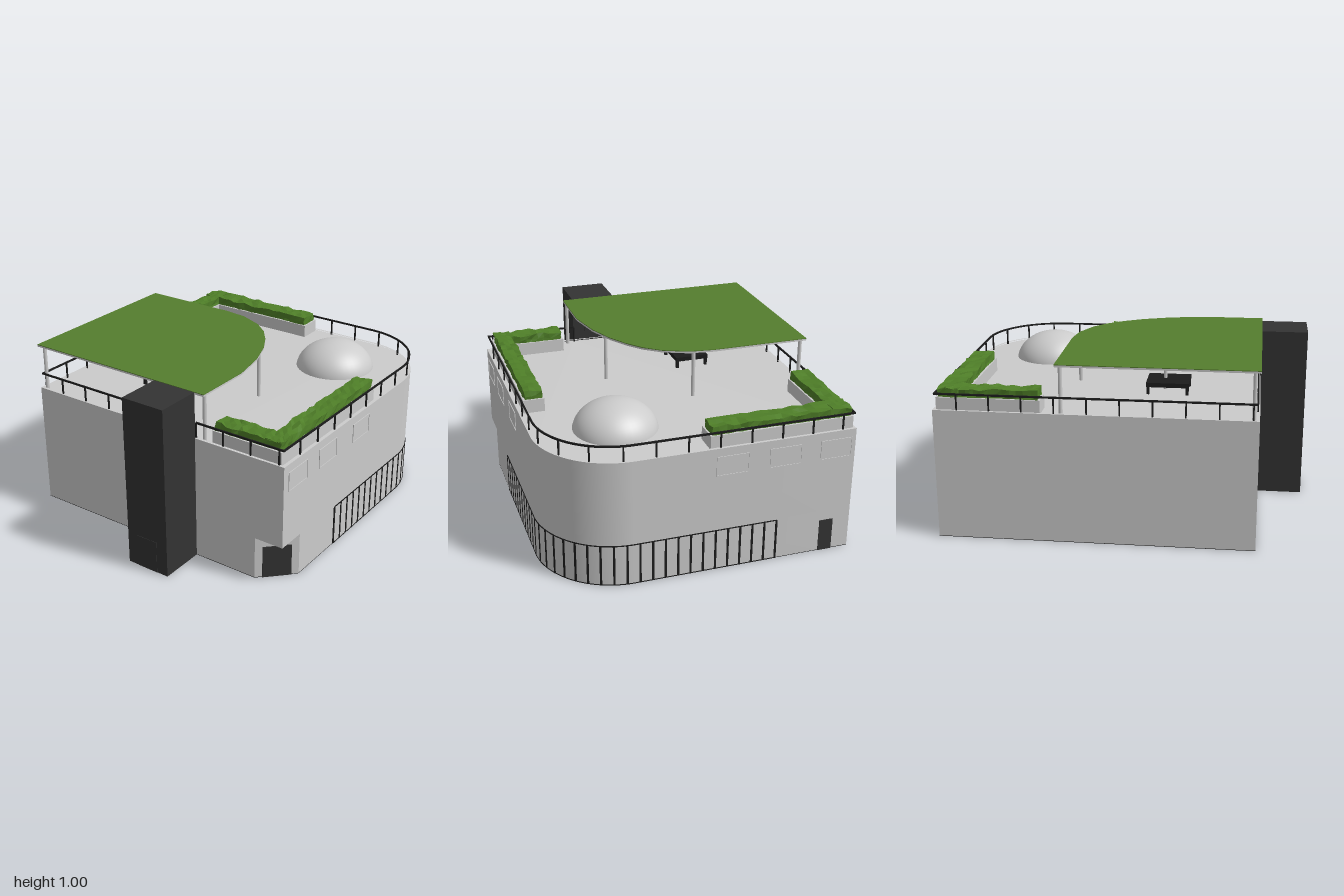
import * as THREE from 'three';
import { toCreasedNormals } from 'three/addons/utils/BufferGeometryUtils.js';

const X0 = -0.735, X1 = 0.993, Z = 0.84, R = 0.44;
const ROOF = 0.718, RIM = 0.728, SOFFIT = 0.25, BASE = 0.003;

const grey = new THREE.MeshStandardMaterial({ color: 0xcccccc });
const dark = new THREE.MeshStandardMaterial({ color: 0x333333 });
const black = new THREE.MeshStandardMaterial({ color: 0x1c1c1c });
const grass = new THREE.MeshStandardMaterial({ color: 0x557d2e });
const leaf = new THREE.MeshStandardMaterial({ color: 0x4f7f28, flatShading: true });

function add(parent, name, geometry, material) {
  const mesh = new THREE.Mesh(geometry, material);
  mesh.name = name;
  parent.add(mesh);
  return mesh;
}

// Box given by its limits on each axis
function box(parent, name, material, xa, xb, ya, yb, za, zb) {
  const mesh = add(parent, name, new THREE.BoxGeometry(xb - xa, yb - ya, zb - za), material);
  mesh.position.set((xa + xb) / 2, (ya + yb) / 2, (za + zb) / 2);
  return mesh;
}

// Plan outline (x, z) raised between two heights
function slab(parent, name, material, shape, bottom, top) {
  const g = new THREE.ExtrudeGeometry(shape, { depth: top - bottom, bevelEnabled: false, curveSegments: 24 });
  g.rotateX(Math.PI / 2).translate(0, top, 0);
  return add(parent, name, toCreasedNormals(g, 0.6), material);
}

// Building plan, running from one side of the tower round to the other
function outline(inset = 0, cut = 0) {
  const s = new THREE.Shape(), x0 = X0 + inset, x1 = X1 - inset, z = Z - inset;
  s.moveTo(x0, 0.28);
  s.lineTo(x0, z - cut);
  if (cut) s.lineTo(x0 + cut, z);
  s.lineTo(X1 - R, z);
  s.absarc(X1 - R, Z - R, R - inset, Math.PI / 2, 0, true);
  s.lineTo(x1, -z);
  s.lineTo(x0, -z);
  s.lineTo(x0, 0.02);
  return s;
}

// Line of the glazed band round the curved corner
function glassLine(inset) {
  const p = new THREE.Path();
  p.moveTo(-0.2, Z - inset);
  p.lineTo(X1 - R, Z - inset);
  p.absarc(X1 - R, Z - R, R - inset, Math.PI / 2, 0, true);
  p.lineTo(X1 - inset, -0.4);
  return p;
}

// Open band between two parallel lines
function band(outer, inner) {
  return new THREE.Shape([...outer.getPoints(24), ...inner.getPoints(24).reverse()]);
}

// Upright bars evenly spaced along a line
function bars(parent, name, path, count, width, depth, bottom, top) {
  for (let i = 0; i <= count; i++) {
    const p = path.getPointAt(i / count), t = path.getTangentAt(i / count);
    const bar = add(parent, name, new THREE.BoxGeometry(width, top - bottom, depth), black);
    bar.position.set(p.x, (top + bottom) / 2, p.y);
    bar.rotation.y = -Math.atan2(t.y, t.x);
  }
}

// Framed window facing +z, before the given turn
function framedWindow(parent, name, x, z, turn) {
  const w = 0.091, h = 0.056, t = 0.004;
  const frame = new THREE.Shape([[-w, -h], [w, -h], [w, h], [-w, h]].map(([a, b]) => new THREE.Vector2(a, b)));
  frame.holes.push(new THREE.Path([[t - w, t - h], [w - t, t - h], [w - t, h - t], [t - w, h - t]].map(([a, b]) => new THREE.Vector2(a, b))));
  const mesh = add(parent, name, new THREE.ExtrudeGeometry(frame, { depth: 0.004, bevelEnabled: false }), grey);
  box(mesh, 'pane', grey, t - w, w - t, t - h, h - t, -0.004, 0.001);
  mesh.position.set(x, 0.625, z);
  mesh.rotation.y = turn;
}

// Clipped hedge with an uneven surface
function hedge(parent, xa, xb, za, zb) {
  const w = xb - xa, d = zb - za;
  const g = new THREE.BoxGeometry(w, 0.06, d, Math.ceil(w / 0.04), 2, Math.ceil(d / 0.04));
  const p = g.attributes.position;
  const noise = (a, b, c, k) => {
    const n = Math.sin(Math.round(a * 500) * 12.99 + Math.round(b * 500) * 78.23 + Math.round(c * 500) * 37.7 + k) * 43758.5;
    return n - Math.floor(n) - 0.5;
  };
  for (let i = 0; i < p.count; i++) {
    const x = p.getX(i), y = p.getY(i), z = p.getZ(i);
    p.setXYZ(i, x + 0.012 * noise(x, y, z, 1), y + 0.014 * noise(x, y, z, 2), z + 0.012 * noise(x, y, z, 3));
  }
  g.computeVertexNormals();
  add(parent, 'hedge', g, leaf).position.set((xa + xb) / 2, 0.811, (za + zb) / 2);
}

export function createModel() {
  const model = new THREE.Group();

  // Walls: dark base, cut corner below, full plan above, low parapet round the roof
  slab(model, 'basePlate', black, outline(0, 0.172), 0, BASE);
  slab(model, 'lowerWalls', grey, outline(0, 0.172), BASE, SOFFIT);
  slab(model, 'upperWalls', grey, outline(), SOFFIT, ROOF);
  const parapet = outline();
  parapet.holes.push(outline(0.016));
  slab(model, 'parapet', grey, parapet, ROOF, RIM);

  // Glazed ground-floor band
  const glazing = new THREE.Group();
  glazing.name = 'glazing';
  model.add(glazing);
  slab(glazing, 'glass', grey, band(glassLine(-0.002), glassLine(0.01)), 0.004, 0.24);
  for (const y of [0.001, 0.238]) {
    slab(glazing, 'glazingFrame', black, band(glassLine(-0.004), glassLine(0.01)), y, y + 0.005);
  }
  bars(glazing, 'mullion', glassLine(0), 32, 0.012, 0.009, 0.001, 0.24);

  // Upper windows on the front and side
  for (const x of [-0.6, -0.3, 0.06]) framedWindow(model, 'frontWindow', x, Z, 0);
  for (const z of [-0.135, -0.435, -0.728]) framedWindow(model, 'sideWindow', X1, z, Math.PI / 2);

  // Doors: one in the cut corner, one in the side
  const cornerDoor = box(model, 'cornerDoor', dark, -0.08, 0.08, 0, 0.19, -0.005, 0.005);
  cornerDoor.position.set(X0 + 0.086, 0.095, Z - 0.086);
  cornerDoor.rotation.y = -Math.PI / 4;
  box(model, 'sideDoor', dark, X1 - 0.01, X1 + 0.004, 0, 0.19, -0.74, -0.66);

  // Lift tower with doors at the ground and the roof
  box(model, 'tower', dark, -0.998, X0 + 0.003, 0, 0.995, 0.015, 0.28);
  box(model, 'towerGroundDoor', dark, -1, -0.99, 0, 0.19, 0.08, 0.21);
  box(model, 'towerRoofDoor', dark, X0, X0 + 0.006, ROOF, 0.91, 0.075, 0.205);

  // Railing
  const railing = new THREE.Group();
  railing.name = 'railing';
  model.add(railing);
  slab(railing, 'handrail', black, band(outline(0.008), outline(0.016)), 0.81, 0.82);
  bars(railing, 'railPost', outline(0.012), 36, 0.008, 0.008, ROOF, 0.812);

  // Roof dome, set slightly into the roof
  const dome = add(model, 'dome', new THREE.SphereGeometry(0.235, 40, 16, 0, Math.PI * 2, 0, Math.PI / 2), grey);
  dome.scale.y = 0.77;
  dome.position.set(0.56, 0.695, 0.375);

  // L-shaped planters: [xa, xb, za, zb]
  const planters = new THREE.Group();
  planters.name = 'planters';
  model.add(planters);
  for (const [xa, xb, za, zb] of [
    [-0.715, -0.59, 0.38, 0.81], [-0.715, 0.25, 0.69, 0.81],
    [0.415, 0.975, -0.825, -0.7], [0.84, 0.975, -0.825, -0.015],
  ]) {
    box(planters, 'planterBox', grey, xa, xb, ROOF, 0.795, za, zb);
    hedge(planters, xa + 0.01, xb - 0.01, za + 0.01, zb - 0.01);
  }

  // Planted canopy on slim columns, its free corner faceted round
  const canopy = new THREE.Shape([
    [X0, -Z], [X0, 0.34], [-0.39, 0.34], [-0.18, 0.298], [-0.02, 0.237], [0.09, 0.173], [0.18, 0.102],
    [0.255, 0.01], [0.315, -0.13], [0.333, -0.27], [0.333, -Z],
  ].map(([x, z]) => new THREE.Vector2(x, z)));
  slab(model, 'canopy', grey, canopy, 0.984, 0.994);
  slab(model, 'canopyGrass', grass, canopy, 0.994, 0.998);
  for (const [x, z] of [
    [-0.705, -0.815], [0.305, -0.815], [0.305, -0.16], [-0.08, 0.245], [-0.705, 0.325], [-0.2, -0.28],
  ]) {
    add(model, 'column', new THREE.CylinderGeometry(0.011, 0.011, 0.985 - ROOF, 12), grey)
      .position.set(x, (0.985 + ROOF) / 2, z);
  }

  // Low table under the canopy
  const table = new THREE.Group();
  table.name = 'table';
  model.add(table);
  box(table, 'tableTop', black, -0.34, -0.1, 0.76, 0.785, -0.4, -0.2);
  for (const x of [-0.33, -0.11]) {
    for (const z of [-0.39, -0.21]) box(table, 'tableLeg', black, x - 0.008, x + 0.008, ROOF, 0.761, z - 0.008, z + 0.008);
  }

  return model;
}
